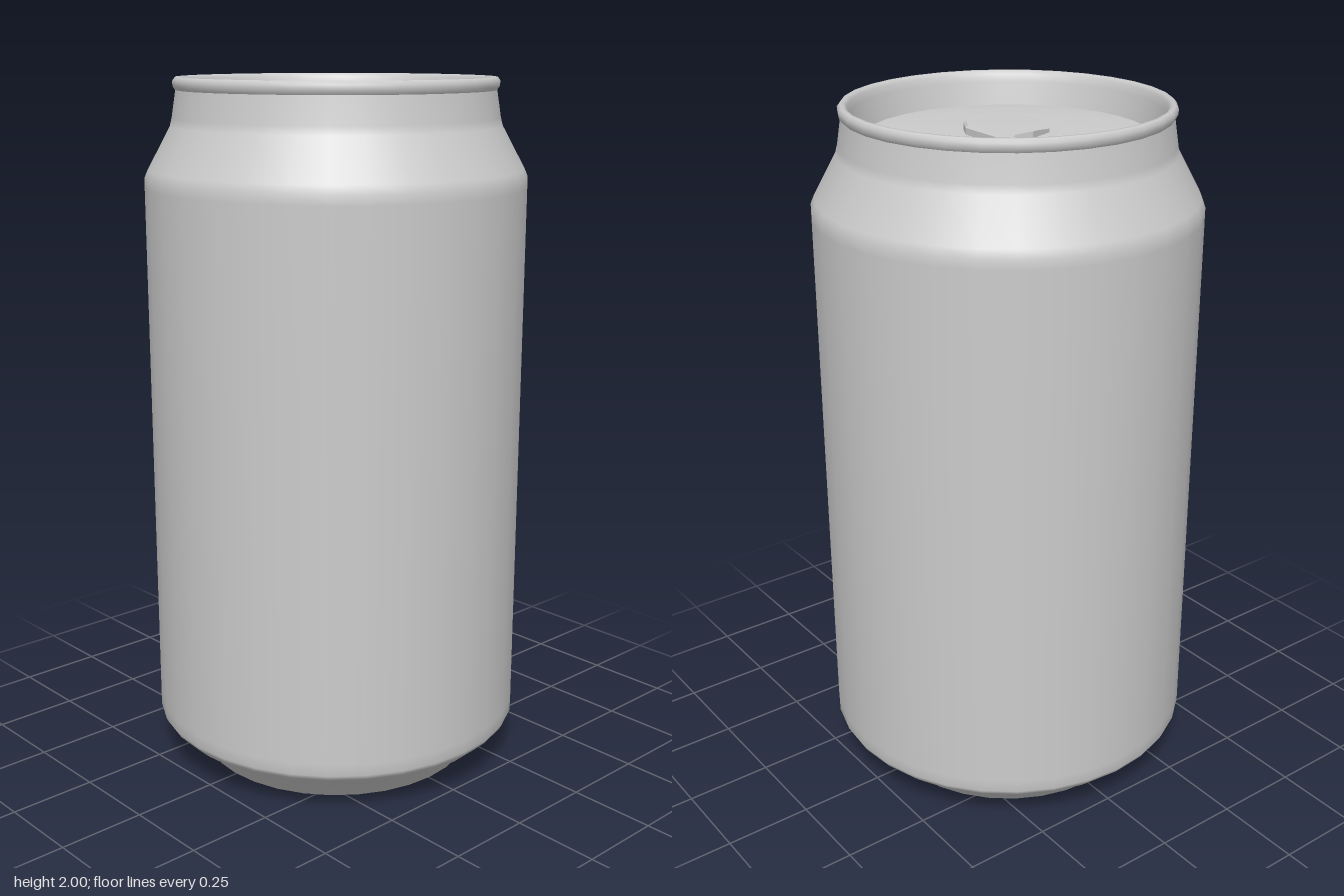
import * as THREE from 'three';

const SIDES = 32;
const material = new THREE.MeshStandardMaterial({ color: 0xcccccc });

// Revolve a profile of [radius, height] pairs around the y axis
function lathe(name, profile) {
  const points = profile.map(([r, y]) => new THREE.Vector2(r, y));
  const mesh = new THREE.Mesh(new THREE.LatheGeometry(points, SIDES), material);
  mesh.name = name;
  return mesh;
}

// Mirror a half outline (x >= 0) across x = 0; points on the axis are kept once
function symmetric(half) {
  const other = half.filter(([x]) => x > 0).reverse().map(([x, z]) => [-x, z]);
  return [...half, ...other].map(([x, z]) => new THREE.Vector2(x, -z));
}

// Pull tab: a thin bevelled plate with a finger hole and a rivet hole
function createTab() {
  const bevel = 0.007;
  const shape = new THREE.Shape(symmetric([
    [0.088, -0.286], [0.104, -0.28], [0.111, -0.267], [0.111, 0.028], [0.082, 0.078], [0.03, 0.108],
  ]));
  shape.holes.push(
    new THREE.Path(symmetric([
      [0, -0.272], [0.08, -0.265], [0.099, -0.24], [0.099, -0.155], [0.08, -0.139], [0, -0.132],
    ])),
    new THREE.Path(symmetric([
      [0, -0.104], [0.071, -0.078], [0.095, -0.006], [0.071, 0.063], [0, 0.092],
    ])),
  );
  const geometry = new THREE.ExtrudeGeometry(shape, {
    depth: 0.02, bevelEnabled: true, bevelSize: bevel, bevelThickness: bevel, bevelSegments: 1,
  });
  geometry.rotateX(-Math.PI / 2);
  const tab = new THREE.Mesh(geometry, material);
  tab.name = 'pullTab';
  tab.position.y = 1.917;
  return tab;
}

export function createModel() {
  const can = new THREE.Group();
  can.name = 'drinkCan';

  can.add(
    // Concave underside
    lathe('baseDome', [
      [0, 0.13], [0.1, 0.124], [0.2, 0.104], [0.29, 0.07], [0.35, 0.035], [0.392, 0],
    ]),
    // Standing ring, lower taper, wall, shoulder and neck
    lathe('body', [
      [0.392, 0], [0.405, 0.003], [0.445, 0.055], [0.5, 0.09], [0.532, 0.12], [0.54, 0.135],
      [0.54, 0.17], [0.54, 1.7], [0.54, 1.727], [0.53, 1.75], [0.466, 1.867], [0.46, 1.89],
      [0.448, 1.965],
    ]),
    // Rolled rim with the inner wall going down to the lid
    lathe('rim', [
      [0.448, 1.965], [0.455, 1.975], [0.456, 1.99], [0.448, 2], [0.438, 2], [0.43, 1.99],
      [0.425, 1.97], [0.41, 1.9],
    ]),
    // Slightly domed lid
    lathe('lid', [
      [0.41, 1.9], [0.395, 1.908], [0.3, 1.914], [0.15, 1.919], [0, 1.92],
    ]),
    createTab(),
  );
  return can;
}
